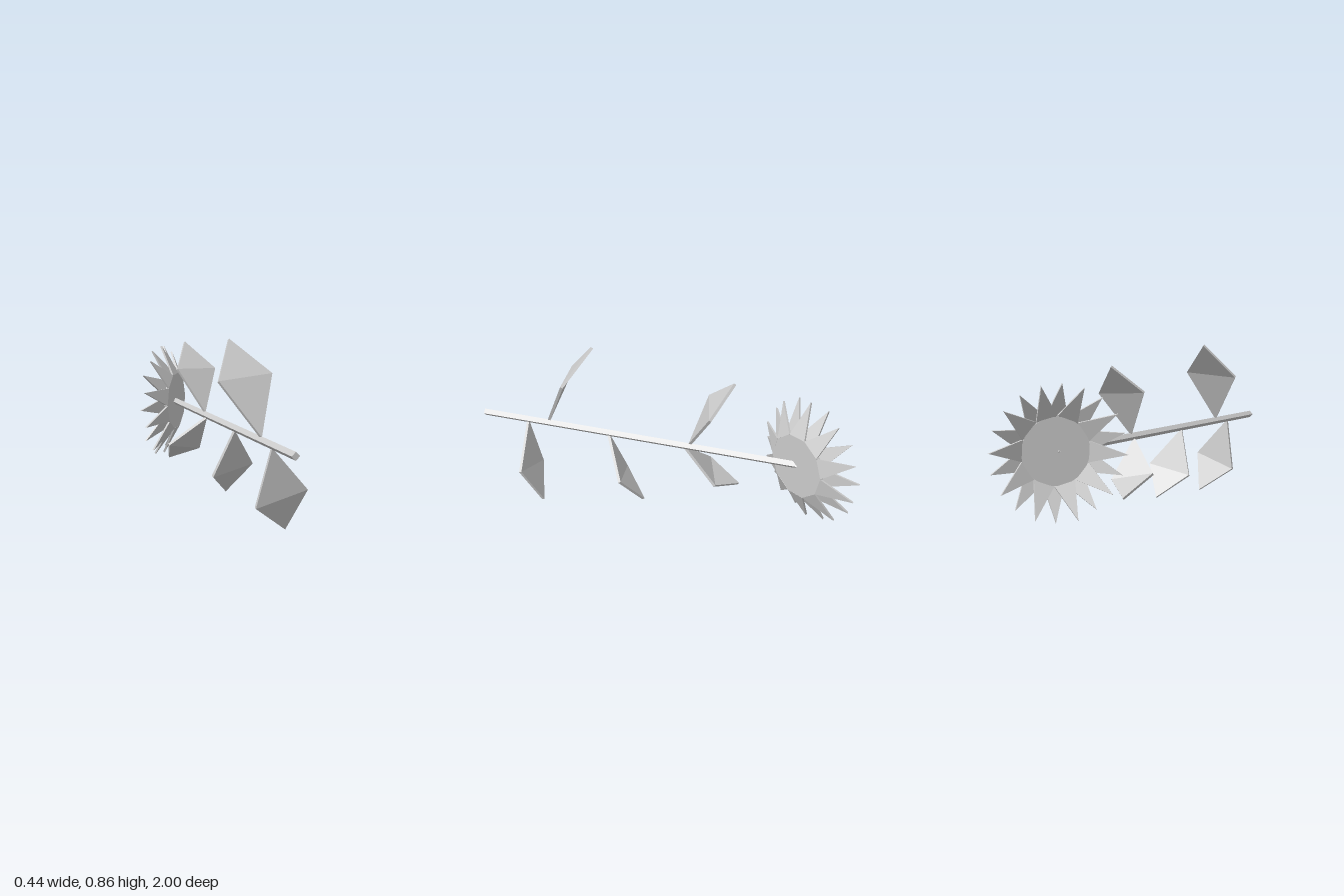
import * as THREE from 'three';

const material = new THREE.MeshStandardMaterial({ color: 0xcccccc, flatShading: true });

function part(name, geometry, parent) {
  const mesh = new THREE.Mesh(geometry, material);
  mesh.name = name;
  parent.add(mesh);
  return mesh;
}

// Thin plate from an outline (3 points, or 4 folded across points 1 and 3)
function plate(outline, thickness) {
  const p = outline.map((c) => new THREE.Vector3(...c));
  const n = p.length;
  const normal = n === 4
    ? p[2].clone().sub(p[0]).cross(p[3].clone().sub(p[1])).normalize()
    : p[1].clone().sub(p[0]).cross(p[2].clone().sub(p[0])).normalize();
  const top = p.map((v) => v.clone().addScaledVector(normal, thickness / 2));
  const bottom = p.map((v) => v.clone().addScaledVector(normal, -thickness / 2));
  const points = [];
  const faces = n === 4 ? [[0, 1, 3], [1, 2, 3]] : [[0, 1, 2]];
  for (const [a, b, c] of faces) {
    points.push(top[a], top[b], top[c], bottom[a], bottom[c], bottom[b]);
  }
  for (let i = 0; i < n; i++) {
    const j = (i + 1) % n;
    points.push(bottom[i], bottom[j], top[j], bottom[i], top[j], top[i]);
  }
  const geometry = new THREE.BufferGeometry().setFromPoints(points);
  geometry.computeVertexNormals();
  return geometry;
}

export function createModel() {
  const model = new THREE.Group();
  model.name = 'flower';

  // Square stem lying along z
  const stem = part('stem', new THREE.CylinderGeometry(0.019, 0.019, 1.69, 4).rotateX(Math.PI / 2), model);
  stem.position.set(0.035, 0.42, 0.155);

  // Folded leaves: root, right corner, tip, left corner
  const leaves = [
    [[0.035, 0.43, 0.63], [0.14, 0.7, 0.495], [-0.035, 0.855, 0.395], [-0.14, 0.68, 0.55]],
    [[0.035, 0.43, -0.14], [0.135, 0.645, -0.27], [-0.01, 0.785, -0.35], [-0.095, 0.655, -0.205]],
    [[0.035, 0.41, 0.75], [0.22, 0.205, 0.725], [0.15, 0.005, 0.64], [-0.025, 0.135, 0.715]],
    [[0.035, 0.41, 0.295], [0.17, 0.22, 0.19], [0.06, 0.065, 0.1], [-0.055, 0.175, 0.235]],
    [[0.035, 0.41, -0.115], [0.05, 0.22, -0.28], [-0.095, 0.16, -0.37], [-0.145, 0.26, -0.2]],
  ];
  for (const outline of leaves) part('leaf', plate(outline, 0.014), model);

  // Tilted flower head; its local +z points toward the stem
  const head = new THREE.Group();
  head.name = 'flowerHead';
  head.position.set(0.045, 0.42, -0.685);
  head.rotation.set(0, 0.958, 0.06);
  model.add(head);

  const radius = 0.165;
  const disc = part('disc', new THREE.CylinderGeometry(radius, radius, 0.024, 10, 1, false, Math.PI / 2)
    .rotateX(Math.PI / 2), head);
  disc.position.z = -0.008;

  // Two staggered rows of ten pointed petals leaning away from the stem
  const rows = [
    { name: 'frontPetal', shift: 0.5, base: 0, tip: -0.083 },
    { name: 'backPetal', shift: 0, base: -0.014, tip: -0.103 },
  ];
  for (const { name, shift, base, tip } of rows) {
    const inner = radius * Math.cos(Math.PI / 10) - 0.003;
    const geometry = plate([[inner, -0.05, base], [0.315, 0, tip], [inner, 0.05, base]], 0.01);
    for (let i = 0; i < 10; i++) {
      part(name, geometry, head).rotation.z = (i + shift) * Math.PI / 5;
    }
  }
  return model;
}
